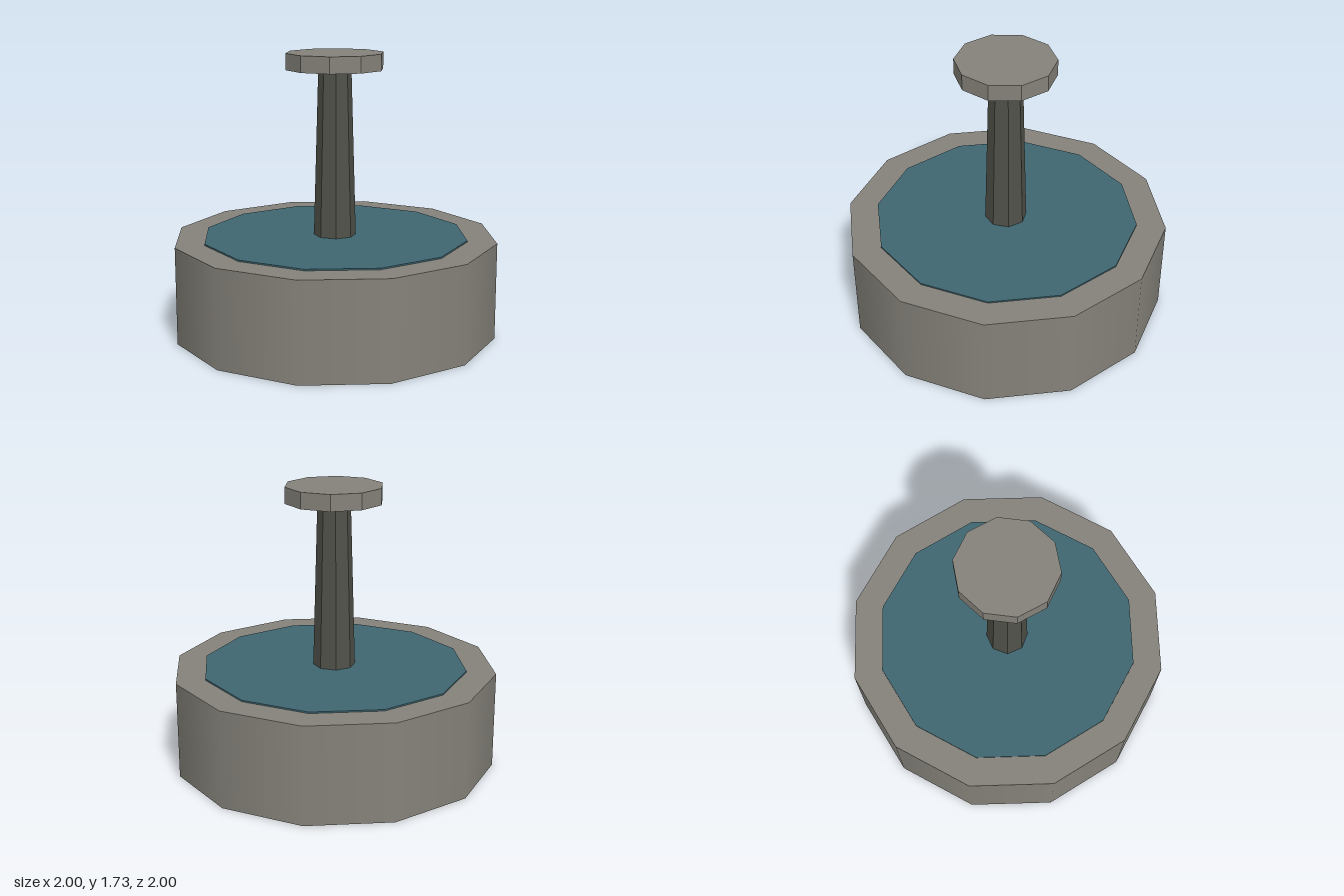
import * as THREE from 'three';

const material = (name, color, flatShading = false) => {
  const m = new THREE.MeshStandardMaterial({ color, flatShading });
  m.name = name;
  return m;
};

export function createModel() {
  const group = new THREE.Group();
  group.name = 'fountain';

  const stone = material('stone', 0x85827a);
  const darkStone = material('darkStone', 0x51514a);
  const water = material('water', 0x3f6671);

  // Adds an upright prism between two heights, with a corner on the x axis
  function addPrism(name, mat, sides, bottomRadius, topRadius, y0, y1, faceted) {
    let geometry = new THREE.CylinderGeometry(topRadius, bottomRadius, y1 - y0, sides);
    geometry.rotateY(Math.PI / 2);
    if (faceted) {
      geometry = geometry.toNonIndexed();
      geometry.computeVertexNormals();
    }
    const mesh = new THREE.Mesh(geometry, mat);
    mesh.name = name;
    mesh.position.y = (y0 + y1) / 2;
    group.add(mesh);
  }

  // Broad basin with a softly shaded wall
  addPrism('basin', stone, 12, 1, 1, 0, 0.6, false);
  // Thin sheet of water standing just above the rim
  addPrism('waterSurface', water, 12, 0.82, 0.82, 0.601, 0.61, false);
  // Tapered column rising from the water
  addPrism('column', darkStone, 8, 0.13, 0.1, 0.6, 1.64, true);
  // Flat dish on top
  addPrism('topDish', stone, 10, 0.3, 0.3, 1.63, 1.73, true);

  return group;
}
